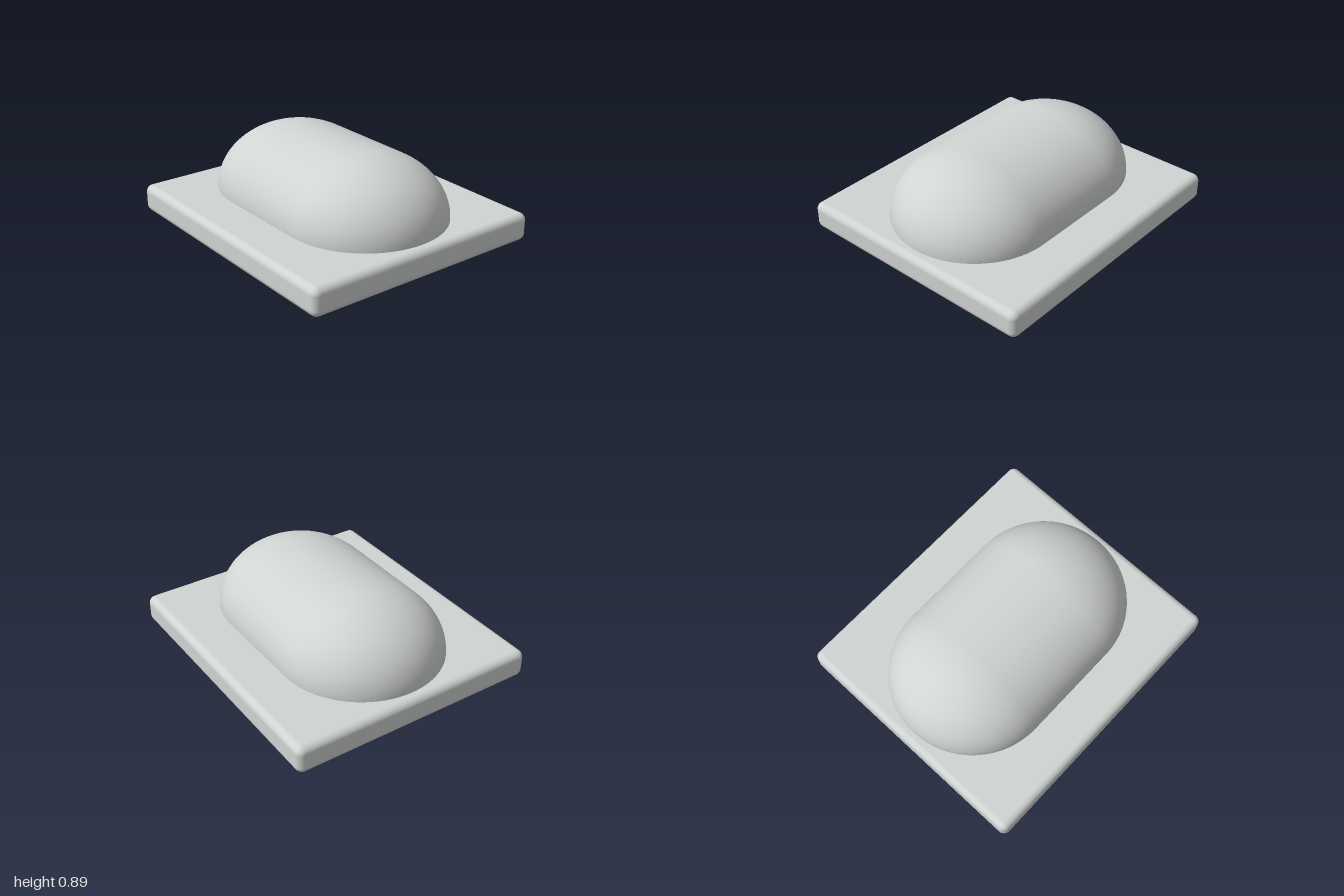
import * as THREE from 'three';
import { RoundedBoxGeometry } from 'three/addons/geometries/RoundedBoxGeometry.js';

export function createModel() {
  const group = new THREE.Group();
  const paleGrey = new THREE.MeshStandardMaterial({ color: 0xd0d4d2 });
  paleGrey.name = 'paleGrey';

  const centreY = 0.446;

  // Flat plate with softly rounded edges
  const plate = new THREE.Mesh(new RoundedBoxGeometry(2, 0.196, 1.77, 6, 0.05), paleGrey);
  plate.name = 'plate';
  plate.position.y = centreY - 0.098;
  group.add(plate);

  // Capsule lying along x, slightly flattened, passing through the plate
  const radius = 0.57;
  const capsule = new THREE.CapsuleGeometry(radius, 0.71, 24, 64);
  capsule.rotateZ(Math.PI / 2);
  capsule.scale(1, centreY / radius, 1);
  const body = new THREE.Mesh(capsule, paleGrey);
  body.name = 'capsuleBody';
  body.position.y = centreY;
  group.add(body);

  return group;
}
